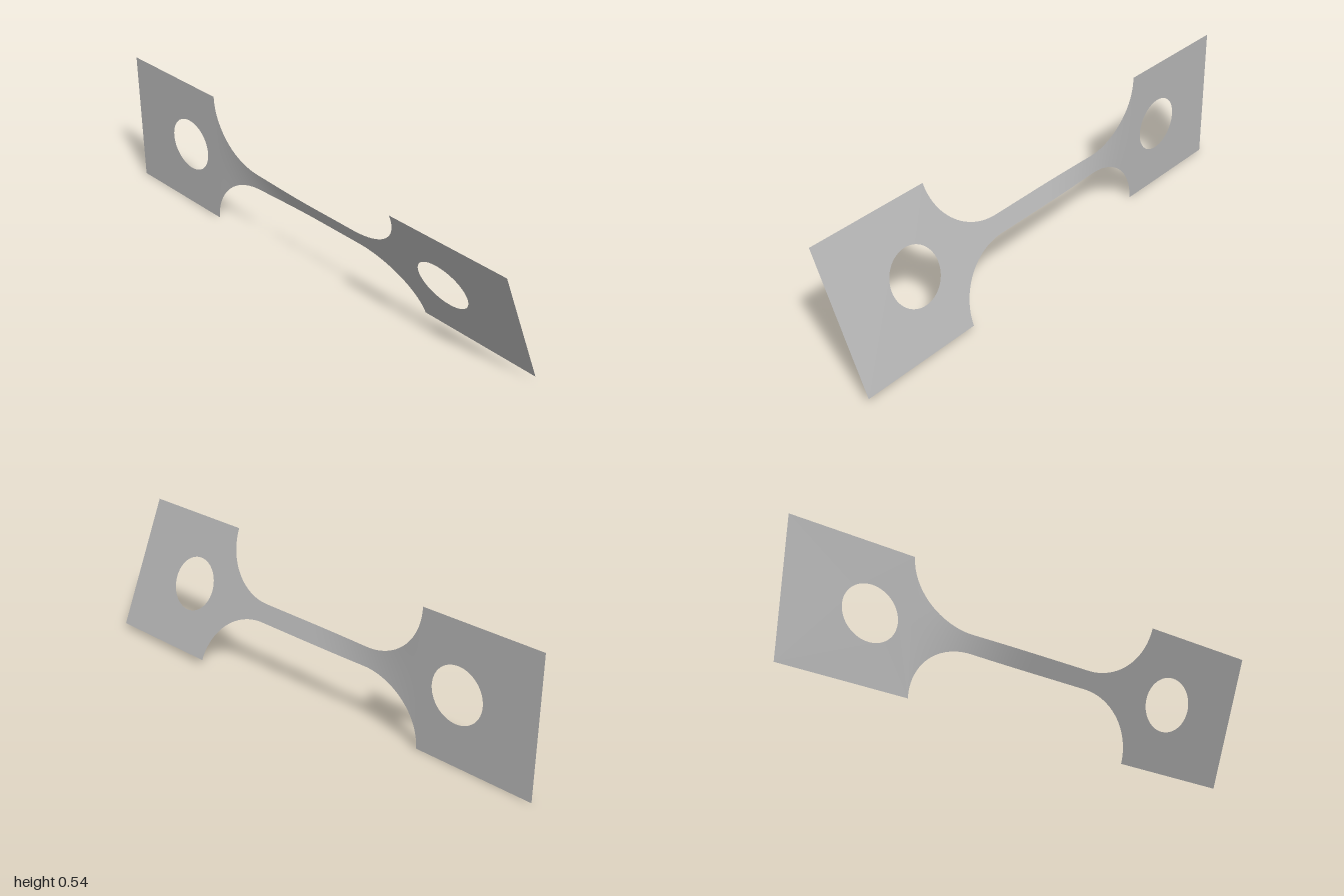
import * as THREE from 'three';

const HALF = 0.271;      // half height of the end plates
const NECK = 0.036;      // half height of the narrow neck
const INNER = 0.51;      // where the plates meet the fillets
const FILLET = 0.25;     // fillet length along x
const START = 0.01, END = 0.407; // roll of each end, radians

// half height of the strip at x
function halfHeight(x) {
  const t = (INNER - Math.abs(x)) / FILLET;
  if (t >= 1) return NECK;
  return HALF - (HALF - NECK) * Math.sqrt(Math.max(0, 1 - (1 - t) ** 2));
}

// roll of the strip about its long axis at x
function roll(x) {
  return START + (END - START) * THREE.MathUtils.smoothstep(x, -INNER, 0.05);
}

// square end plate with a round hole
function endPlate(name, side, holeX, angle, material) {
  const a = side < 0 ? -1 : INNER, b = side < 0 ? -INNER : 1;
  const shape = new THREE.Shape([
    new THREE.Vector2(a, -HALF), new THREE.Vector2(b, -HALF),
    new THREE.Vector2(b, HALF), new THREE.Vector2(a, HALF),
  ]);
  const hole = new THREE.Path();
  hole.absarc(holeX, 0, 0.108, 0, Math.PI * 2, true);
  shape.holes.push(hole);
  const mesh = new THREE.Mesh(new THREE.ShapeGeometry(shape, 32), material);
  mesh.rotation.x = angle;
  mesh.name = name;
  return mesh;
}

// twisted neck with flared ends
function twistedNeck(material) {
  const xs = [];
  const n = 24;
  for (let i = 0; i <= n; i++) xs.push(-INNER + FILLET * (1 - Math.cos((i / n) * Math.PI / 2)));
  const inner = INNER - FILLET;
  for (let i = 1; i < n; i++) xs.push(-inner + (2 * inner * i) / n);
  for (let i = n; i >= 0; i--) xs.push(-xs[i]);

  const rows = 8;
  const geo = new THREE.PlaneGeometry(1, 1, xs.length - 1, rows);
  const pos = geo.attributes.position;
  for (let i = 0; i < pos.count; i++) {
    const x = xs[i % xs.length];
    const v = pos.getY(i) * 2 * halfHeight(x);
    const a = roll(x);
    pos.setXYZ(i, x, v * Math.cos(a), v * Math.sin(a));
  }
  geo.computeVertexNormals();
  const mesh = new THREE.Mesh(geo, material);
  mesh.name = 'twistedNeck';
  return mesh;
}

export function createModel() {
  const metal = new THREE.MeshStandardMaterial({ color: 0xb4b4b4, side: THREE.DoubleSide });
  metal.name = 'grey metal';
  const group = new THREE.Group();
  group.name = 'twistedStrip';
  group.add(
    endPlate('rightPlate', -1, -0.672, START, metal),
    twistedNeck(metal),
    endPlate('leftPlate', 1, 0.667, END, metal),
  );
  group.position.y = HALF;
  return group;
}
